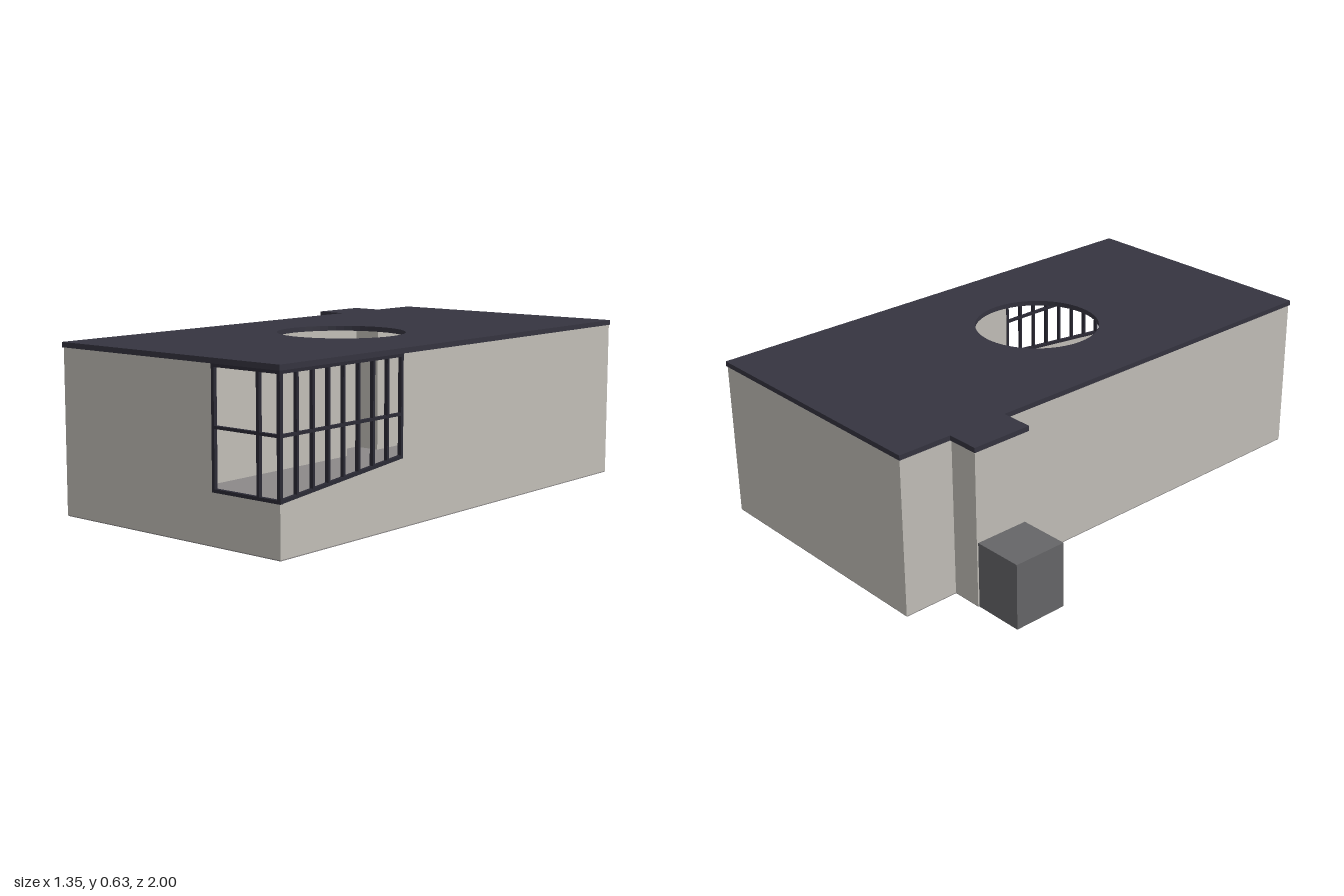
import * as THREE from 'three';

const mat = (name, color) => {
  const m = new THREE.MeshStandardMaterial({ color });
  m.name = name;
  return m;
};

export function createModel() {
  const root = new THREE.Group();
  root.name = 'pavilion';
  const wallMat = mat('warm grey wall', 0xc2bfb8);
  const roofMat = mat('dark slate', 0x353440);
  const frameMat = mat('dark frame', 0x2b2a35);
  const boxMat = mat('charcoal', 0x666668);
  const floorMat = mat('floor grey', 0x8c8989);

  const add = (name, geo, material, parent = root) => {
    const mesh = new THREE.Mesh(geo, material);
    mesh.name = name;
    parent.add(mesh);
    return mesh;
  };
  // Box from its minimum and maximum corners
  const block = (name, x0, x1, y0, y1, z0, z1, material, parent) => add(name,
    new THREE.BoxGeometry(x1 - x0, y1 - y0, z1 - z0)
      .translate((x0 + x1) / 2, (y0 + y1) / 2, (z0 + z1) / 2), material, parent);
  const outline = pts => new THREE.Shape(pts.map(p => new THREE.Vector2(...p)));
  const extrude = (shape, depth) =>
    new THREE.ExtrudeGeometry(shape, { depth, bevelEnabled: false, curveSegments: 24 });

  // Plan of the main rectangle with the small side bay, points are (x, z)
  const plan = (x0, x1, zEnd, bayX, bay0, bay1) => outline([
    [x0, -zEnd], [x1, -zEnd], [x1, zEnd], [x0, zEnd],
    [x0, bay1], [bayX, bay1], [bayX, bay0], [x0, bay0]]);

  // Floor and roof slabs, the roof pierced by a round opening
  add('floor', extrude(plan(-0.357, 0.668, 0.994, -0.476, -0.774, -0.552), 0.006)
    .rotateX(Math.PI / 2).translate(0, 0.006, 0), floorMat);
  const roofPlan = plan(-0.363, 0.672, 1, -0.489, -0.785, -0.543);
  const hole = new THREE.Path();
  hole.absarc(0.155, 0.085, 0.242, 0, Math.PI * 2, true);
  roofPlan.holes.push(hole);
  add('roof', extrude(roofPlan, 0.019).rotateX(Math.PI / 2).translate(0, 0.627, 0), roofMat);

  // Walls
  const X0 = -0.358, X1 = 0.669, Z = 0.996, Y0 = 0.004, Y1 = 0.609, T = 0.008;
  const BX = -0.478, B0 = -0.776, B1 = -0.55;
  const walls = new THREE.Group();
  walls.name = 'walls';
  root.add(walls);
  block('backWall', X0, X1, Y0, Y1, -Z, -Z + T, wallMat, walls);
  block('rightWallRear', X0, X0 + T, Y0, Y1, -Z, B0 + T, wallMat, walls);
  block('rightWallFront', X0, X0 + T, Y0, Y1, B1 - T, Z, wallMat, walls);
  block('bayBackWall', BX, X0 + T, Y0, Y1, B0, B0 + T, wallMat, walls);
  block('bayFrontWall', BX, X0 + T, Y0, Y1, B1 - T, B1, wallMat, walls);
  block('baySideWall', BX, BX + T, Y0, Y1, B0, B1, wallMat, walls);

  // Front and left walls, cut away for the corner window
  const WX = 0.377, WZ = 0.377, S0 = 0.188, S1 = 0.25;
  add('frontWall', extrude(outline([
    [X0, Y0], [X1, Y0], [X1, S0], [WX, S0], [WX, Y1], [X0, Y1]]), T)
    .translate(0, 0, Z - T), wallMat, walls);
  add('leftWall', extrude(outline([
    [-Z, Y0], [Z, Y0], [Z, S0], [WZ, S1], [WZ, Y1], [-Z, Y1]]), T)
    .rotateY(-Math.PI / 2).translate(X1, 0, 0), wallMat, walls);

  // Corner window frame
  const win = new THREE.Group();
  win.name = 'cornerWindow';
  root.add(win);
  const F = 0.012, D = 0.014, WT = 0.608, ZF = 0.999, XF = 0.672;
  for (const x of [0.372, 0.57]) block('frontMullion', x, x + F, S0 - 0.004, WT, ZF - D, ZF, frameMat, win);
  for (const [y, h] of [[0.184, F], [0.395, 0.01], [0.597, F]])
    block('frontRail', 0.372, XF, y, y + h, ZF - D, ZF, frameMat, win);
  block('cornerPost', XF - D, XF, 0.184, WT, ZF - D, ZF, frameMat, win);

  const sillY = z => S0 + (S1 - S0) * (Z - z) / (Z - WZ);
  for (let i = 1; i <= 8; i++) {
    const z = 0.992 - i * 0.0769, w = i === 8 ? F : 0.01;
    block('sideMullion', XF - D, XF, sillY(z), WT, z - w / 2, z + w / 2, frameMat, win);
  }
  block('sideRail', XF - D, XF, 0.395, 0.405, WZ, ZF, frameMat, win);
  block('sideHead', XF - D, XF, 0.597, WT, WZ - 0.006, ZF, frameMat, win);
  // Sloping sill of the side window
  add('sideSill', extrude(outline([
    [WZ - 0.006, S1 - 0.004], [ZF, S0 - 0.004], [ZF, S0 + 0.008], [WZ - 0.006, S1 + 0.008]]), D)
    .rotateY(-Math.PI / 2).translate(XF, 0, 0), frameMat, win);

  // Low outside box against the bay, with a pale strip along its front foot
  block('outsideBox', -0.674, BX, 0, 0.255, -0.77, -0.556, boxMat);
  block('boxFootStrip', -0.674, BX, 0.001, 0.02, -0.556, -0.554, floorMat);

  return root;
}
